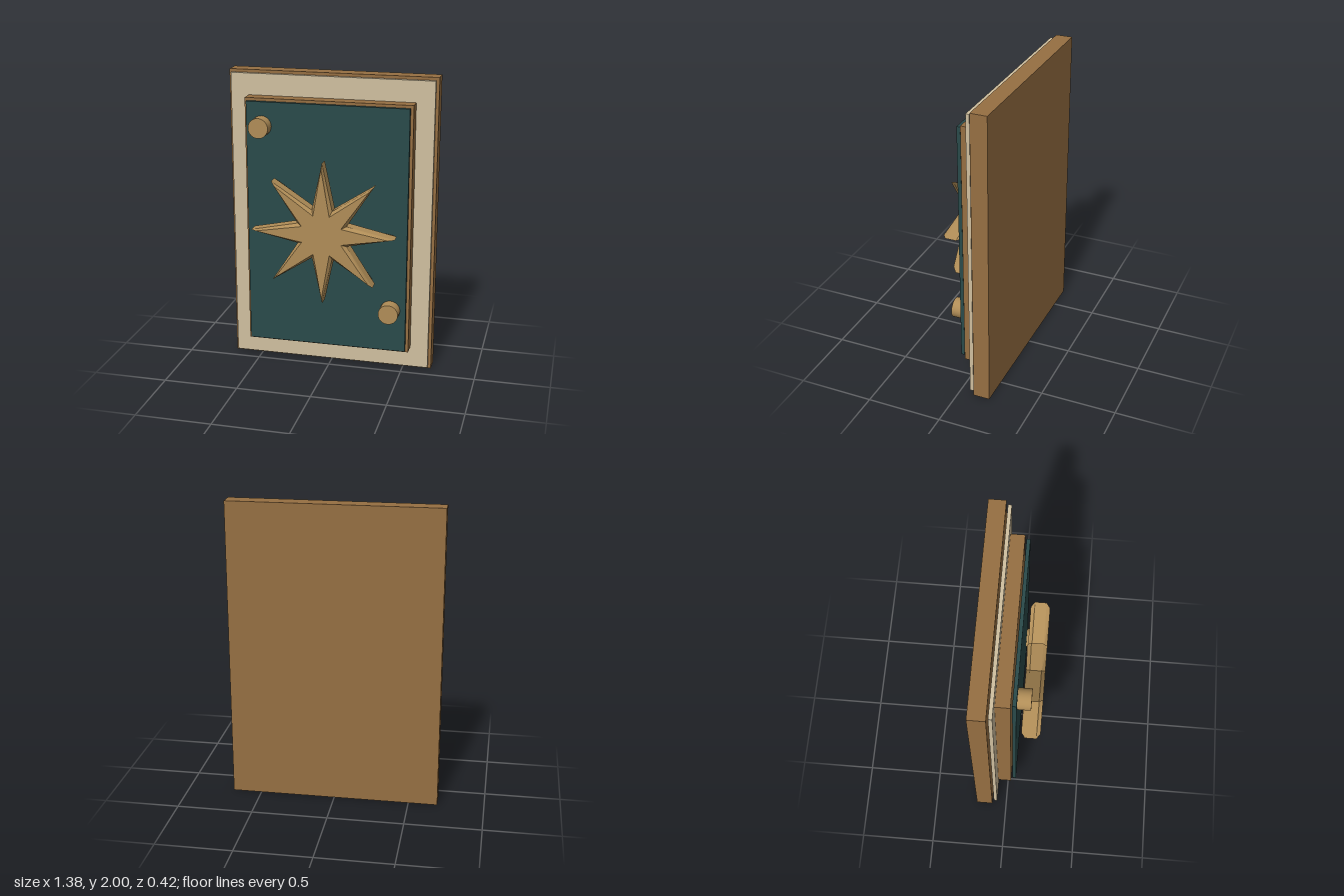
import * as THREE from 'three';

const wood = new THREE.MeshStandardMaterial({ color: 0x966f42 });
const brass = new THREE.MeshStandardMaterial({ color: 0xb08d57 });
const cream = new THREE.MeshStandardMaterial({ color: 0xd0c0a0 });
const teal = new THREE.MeshStandardMaterial({ color: 0x2a4a4a });

export function createModel() {
  const model = new THREE.Group();
  model.name = 'starPlaque';

  function add(name, geometry, material, x, y, z) {
    const mesh = new THREE.Mesh(geometry, material);
    mesh.name = name;
    mesh.position.set(x, y, z);
    model.add(mesh);
    return mesh;
  }

  // Stacked panels, back to front: name, width, height, back z, front z
  const panels = [
    ['backBoard', 1.384, 2, -0.21, -0.1, wood],
    ['creamSheet', 1.346, 1.964, -0.09, -0.066, cream],
    ['innerBoard', 1.106, 1.68, -0.066, 0.025, wood],
    ['tealPanel', 1.07, 1.646, 0.034, 0.058, teal],
  ];
  for (const [name, w, h, z0, z1, material] of panels) {
    add(name, new THREE.BoxGeometry(w, h, z1 - z0), material, 0, 1, (z0 + z1) / 2);
  }

  // Eight-pointed star with chamfered edges
  const points = [];
  for (let i = 0; i < 16; i++) {
    const r = i % 2 ? 0.14 : 0.44;
    const a = (i * Math.PI) / 8;
    points.push(new THREE.Vector2(r * Math.cos(a), r * Math.sin(a)));
  }
  const star = new THREE.ExtrudeGeometry(new THREE.Shape(points), {
    depth: 0.075, bevelEnabled: true, bevelThickness: 0.025, bevelSize: 0.025, bevelSegments: 1,
  });
  add('star', star, brass, 0, 1, 0.109);

  // Round studs in two opposite corners
  const stud = new THREE.CylinderGeometry(0.066, 0.066, 0.084, 32).rotateX(Math.PI / 2);
  add('upperStud', stud, brass, -0.432, 1.666, 0.1);
  add('lowerStud', stud, brass, 0.432, 0.466, 0.1);

  return model;
}
